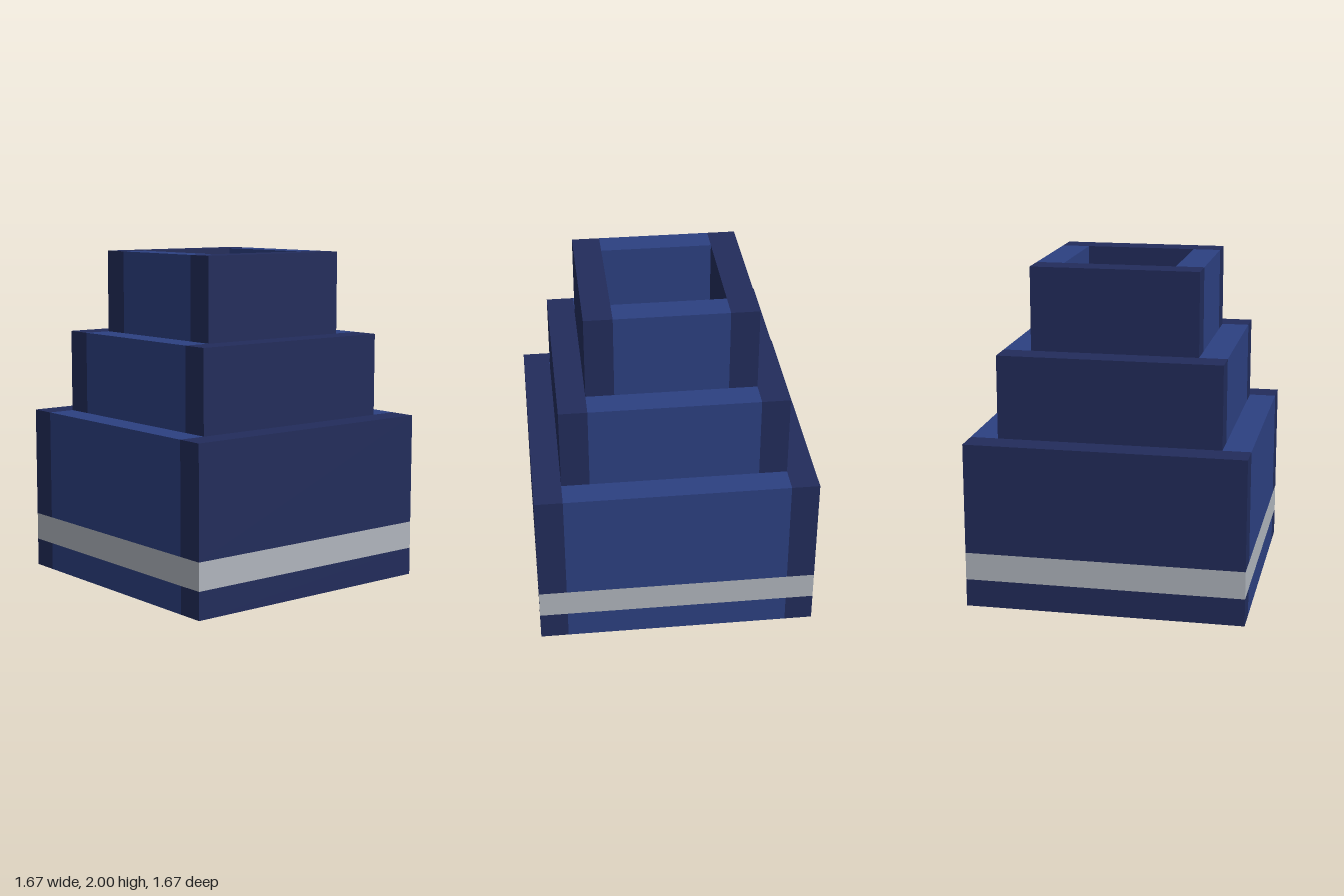
import * as THREE from 'three';

const U = 1 / 6; // wall thickness

export function createModel() {
  const model = new THREE.Group();
  const blue = new THREE.MeshStandardMaterial({ name: 'blue', color: 0x2c4081 });
  const navy = new THREE.MeshStandardMaterial({ name: 'navy', color: 0x222c5b });
  const silver = new THREE.MeshStandardMaterial({ name: 'silver', color: 0xb0b5bd });

  // Square ring of four walls: side walls run the full depth, end walls fit between.
  // All sizes are in wall thicknesses.
  function ring(name, outer, inner, y0, y1, sideMat, endMat) {
    const group = new THREE.Group();
    group.name = name;
    const t = (outer - inner) * U, mid = ((outer + inner) / 2) * U;
    const h = (y1 - y0) * U, y = ((y0 + y1) / 2) * U;
    for (const s of [1, -1]) {
      const side = new THREE.Mesh(new THREE.BoxGeometry(t, h, 2 * outer * U), sideMat);
      side.position.set(s * mid, y, 0);
      side.name = s > 0 ? 'leftWall' : 'rightWall';
      const end = new THREE.Mesh(new THREE.BoxGeometry(2 * inner * U, h, t), endMat);
      end.position.set(0, y, s * mid);
      end.name = s > 0 ? 'frontWall' : 'backWall';
      group.add(side, end);
    }
    model.add(group);
  }

  // Bottom tier with its stripe
  ring('baseRim', 5, 4, 0, 1, navy, blue);
  ring('stripe', 5, 4, 1, 2, silver, silver);
  ring('lowerTier', 5, 4, 2, 6, navy, blue);

  // Stepped upper tiers
  ring('middleTier', 4, 3, 6, 9, navy, blue);
  ring('upperTier', 3, 2, 9, 12, navy, blue);

  // Thick lining around the central shaft
  ring('lowerLining', 4, 2, 2, 6, blue, blue);
  ring('middleLining', 3, 2, 6, 9, blue, blue);

  return model;
}
